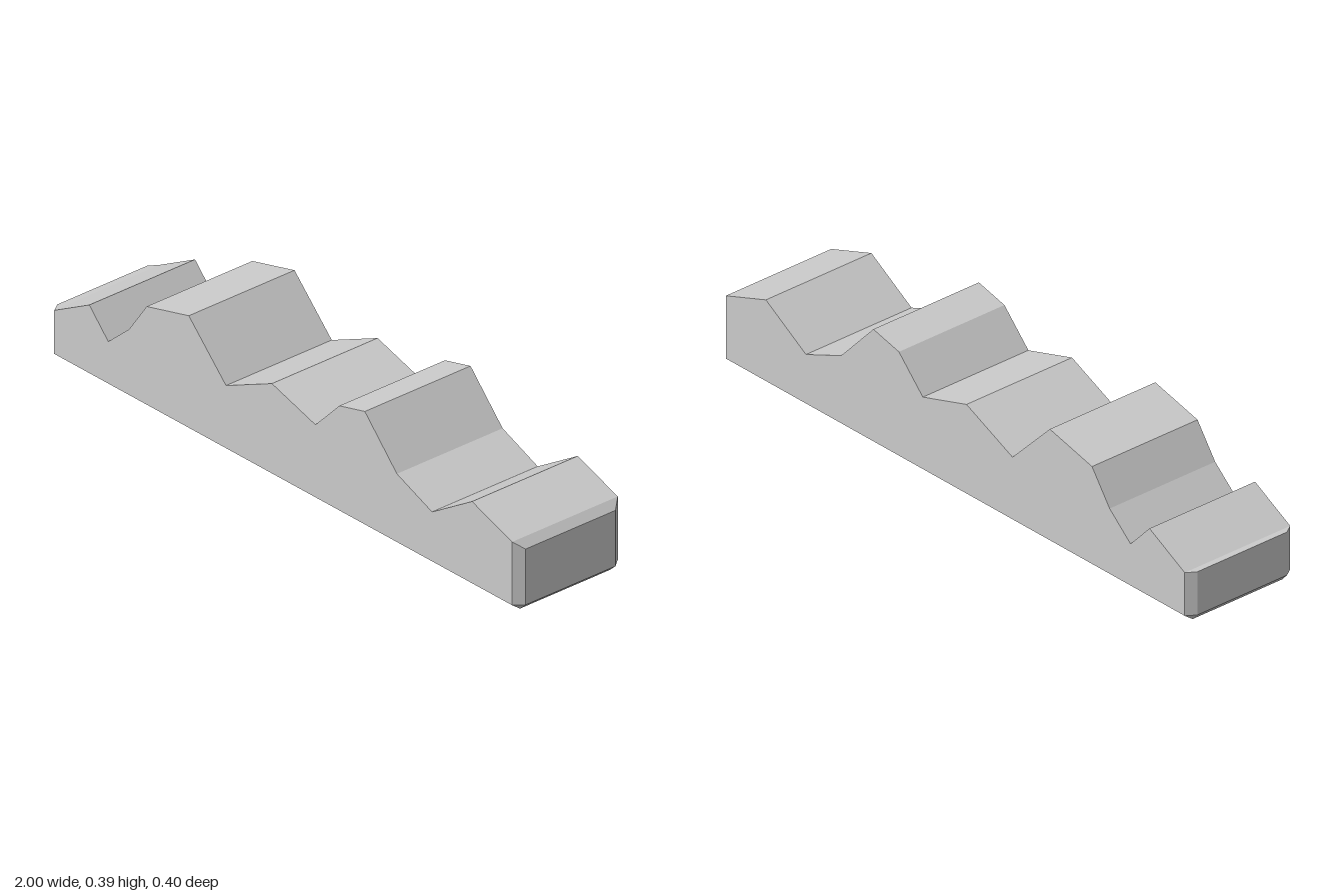
import * as THREE from 'three';

// Mountain skyline from the right end to the left end: [x, height]
const RIDGE = [
  [-1, 0.163], [-0.98, 0.163], [-0.83, 0.243], [-0.749, 0.158], [-0.66, 0.235],
  [-0.585, 0.34], [-0.405, 0.385], [-0.246, 0.225], [-0.05, 0.313], [0.136, 0.257],
  [0.238, 0.361], [0.347, 0.388], [0.484, 0.243], [0.634, 0.182], [0.805, 0.287],
  [0.976, 0.227], [1, 0.203],
];
const HALF_DEPTH = 0.2, INSET_DEPTH = 0.17, BEVEL = 0.022;

// Cross-section at one x: front top, down, under the base, up to back top
function section([x, top], isEnd) {
  const side = isEnd ? INSET_DEPTH : HALF_DEPTH;
  const base = isEnd ? BEVEL : 0;
  const half = [[top, side], [BEVEL, side], [base, INSET_DEPTH]];
  const back = half.map(([y, z]) => [y, -z]).reverse();
  return [...half, ...back].map(([y, z]) => new THREE.Vector3(x, y, z));
}

function ridgeGeometry() {
  const sections = RIDGE.map((p, i) => section(p, i === 0 || i === RIDGE.length - 1));
  const positions = [];
  const triangle = (a, b, c) => {
    if (new THREE.Triangle(a, b, c).getArea() < 1e-8) return;
    for (const v of [a, b, c]) positions.push(v.x, v.y, v.z);
  };
  const quad = (a, b, c, d) => { triangle(a, b, c); triangle(a, c, d); };

  // Skin between neighbouring sections
  for (let s = 0; s < sections.length - 1; s++) {
    const a = sections[s], b = sections[s + 1];
    for (let i = 0; i < a.length; i++) {
      const j = (i + 1) % a.length;
      quad(a[i], a[j], b[j], b[i]);
    }
  }
  // Flat end caps
  const left = sections[sections.length - 1], right = sections[0];
  quad(left[0], left[1], left[4], left[5]);
  quad(right[5], right[4], right[1], right[0]);

  const geometry = new THREE.BufferGeometry();
  geometry.setAttribute('position', new THREE.Float32BufferAttribute(positions, 3));
  geometry.computeVertexNormals();
  return geometry;
}

export function createModel() {
  const group = new THREE.Group();
  group.name = 'mountainRange';
  const material = new THREE.MeshStandardMaterial({ color: 0xcccccc, flatShading: true });
  const ridge = new THREE.Mesh(ridgeGeometry(), material);
  ridge.name = 'mountainRidge';
  group.add(ridge);
  return group;
}
